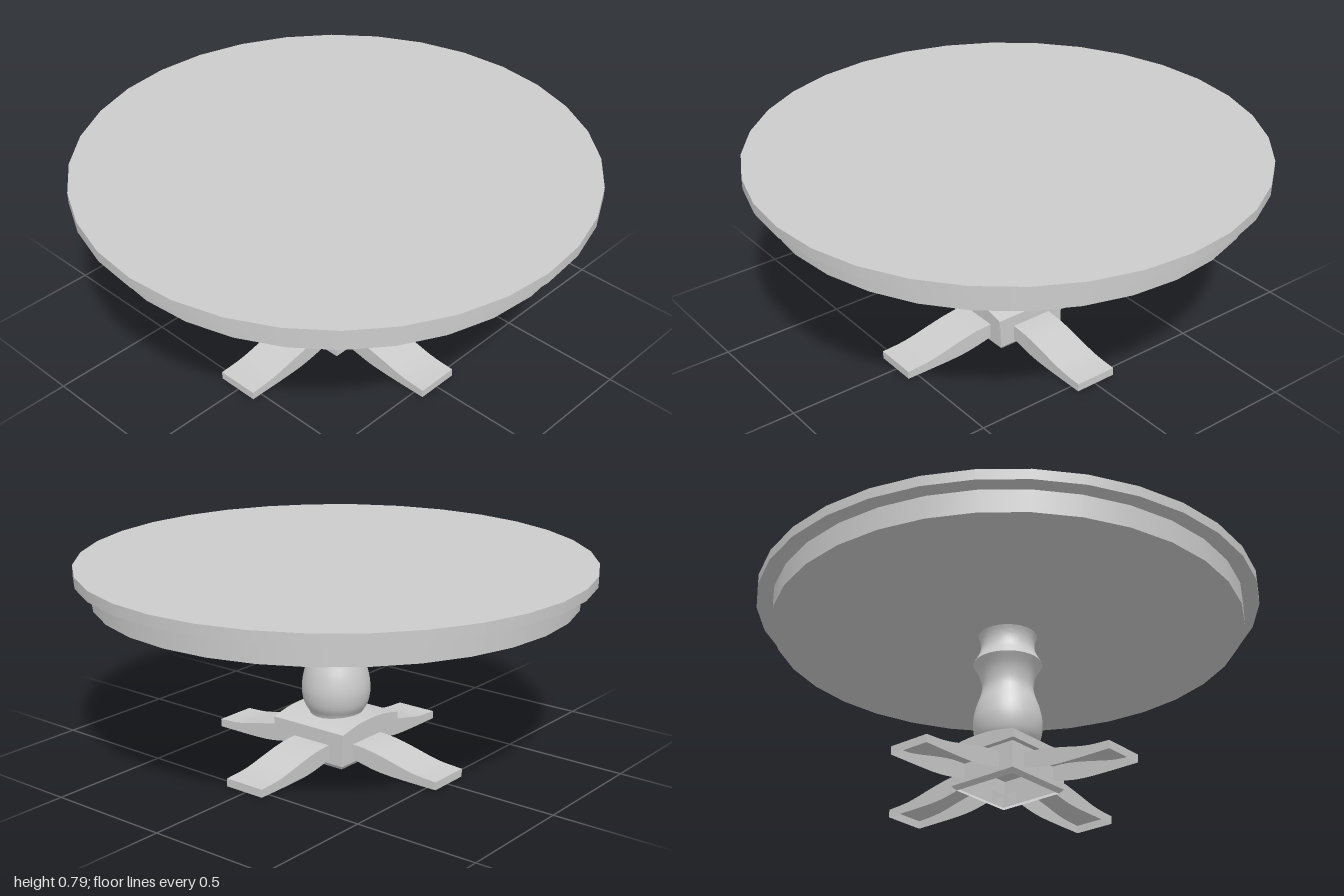
import * as THREE from 'three';
import { toCreasedNormals } from 'three/addons/utils/BufferGeometryUtils.js';

const solid = new THREE.MeshStandardMaterial({ color: 0xcccccc });
const shell = new THREE.MeshStandardMaterial({ color: 0xcccccc, side: THREE.DoubleSide });

function add(parent, name, geometry, material = solid) {
  const mesh = new THREE.Mesh(geometry, material);
  mesh.name = name;
  parent.add(mesh);
  return mesh;
}

// Smooth curve through a few [a, b] points.
function smooth(points, divisions) {
  return new THREE.SplineCurve(points.map(p => new THREE.Vector2(...p))).getPoints(divisions);
}

// Foot hollow underneath: top strip, two side walls and end walls, running out along +x.
function footGeometry(halfWidth) {
  const top = smooth([[0.09, 0.1], [0.15, 0.1], [0.2, 0.098], [0.26, 0.09], [0.34, 0.073], [0.4, 0.059], [0.46, 0.049], [0.545, 0.044]], 20);
  const bottomCurve = new THREE.SplineCurve([[0.09, 0.043], [0.15, 0.04], [0.2, 0.03], [0.27, 0.018], [0.36, 0.013], [0.545, 0.012]]
    .map(p => new THREE.Vector2(...p)));
  const bottom = bottomCurve.getPoints(20);
  const positions = [], index = [];
  // Cross-section loop: lower left, upper left, upper right, lower right.
  top.forEach((t, i) => {
    const b = bottom[i];
    positions.push(b.x, b.y, halfWidth, t.x, t.y, halfWidth, t.x, t.y, -halfWidth, b.x, b.y, -halfWidth);
  });
  for (let i = 0; i < top.length - 1; i++) {
    for (let k = 0; k < 3; k++) {
      const a = i * 4 + k, b = a + 4;
      index.push(a, b, b + 1, a, b + 1, a + 1);
    }
  }
  const e = (top.length - 1) * 4;
  index.push(e, e + 3, e + 2, e, e + 2, e + 1, 0, 1, 2, 0, 2, 3);
  const geometry = new THREE.BufferGeometry();
  geometry.setAttribute('position', new THREE.Float32BufferAttribute(positions, 3));
  geometry.setIndex(index);
  return toCreasedNormals(geometry, 0.6);
}

// Square tube open underneath, with a small chamfer at its lower edge.
function baseGeometry() {
  const r = Math.SQRT2;
  const profile = [[0.138, 0.008], [0.152, 0.025], [0.152, 0.135]]
    .map(([x, y]) => new THREE.Vector2(x * r, y));
  const geometry = new THREE.LatheGeometry(profile, 4, Math.PI / 4);
  return toCreasedNormals(geometry, 0.3);
}

export function createModel() {
  const table = new THREE.Group();
  table.name = 'pedestalTable';

  // Round top and the apron below it
  add(table, 'tabletop', new THREE.CylinderGeometry(1, 1, 0.042, 32)).position.y = 0.781;
  add(table, 'apron', new THREE.CylinderGeometry(0.937, 0.937, 0.094, 32)).position.y = 0.715;

  // Turned column: bulbous lower part, sharp ridge, waisted neck
  const lower = smooth([[0.1, 0.14], [0.105, 0.185], [0.127, 0.225], [0.136, 0.285], [0.126, 0.35], [0.106, 0.41], [0.102, 0.45], [0.113, 0.5], [0.137, 0.543]], 28);
  const upper = smooth([[0.137, 0.543], [0.114, 0.585], [0.107, 0.615], [0.109, 0.645], [0.119, 0.672]], 14);
  const column = new THREE.LatheGeometry([new THREE.Vector2(0, 0.14), ...lower, ...upper.slice(1)], 32);
  add(table, 'column', toCreasedNormals(column, 0.6));

  // Cap block with a top that arches from front to back
  const arch = smooth([[0.174, 0.166], [0.13, 0.176], [0.07, 0.186], [0, 0.189], [-0.07, 0.186], [-0.13, 0.176], [-0.174, 0.166]], 16);
  const capShape = new THREE.Shape([new THREE.Vector2(-0.174, 0.132), new THREE.Vector2(0.174, 0.132), ...arch]);
  const cap = new THREE.ExtrudeGeometry(capShape, { depth: 0.348, bevelEnabled: false });
  cap.translate(0, 0, -0.174).rotateY(Math.PI / 2);
  add(table, 'baseCap', toCreasedNormals(cap, 0.5));

  // Hollow base block and four feet
  add(table, 'baseBlock', baseGeometry(), shell);
  const foot = footGeometry(0.087);
  ['leftFoot', 'backFoot', 'rightFoot', 'frontFoot'].forEach((name, i) => {
    add(table, name, foot, shell).rotation.y = i * Math.PI / 2;
  });

  return table;
}
